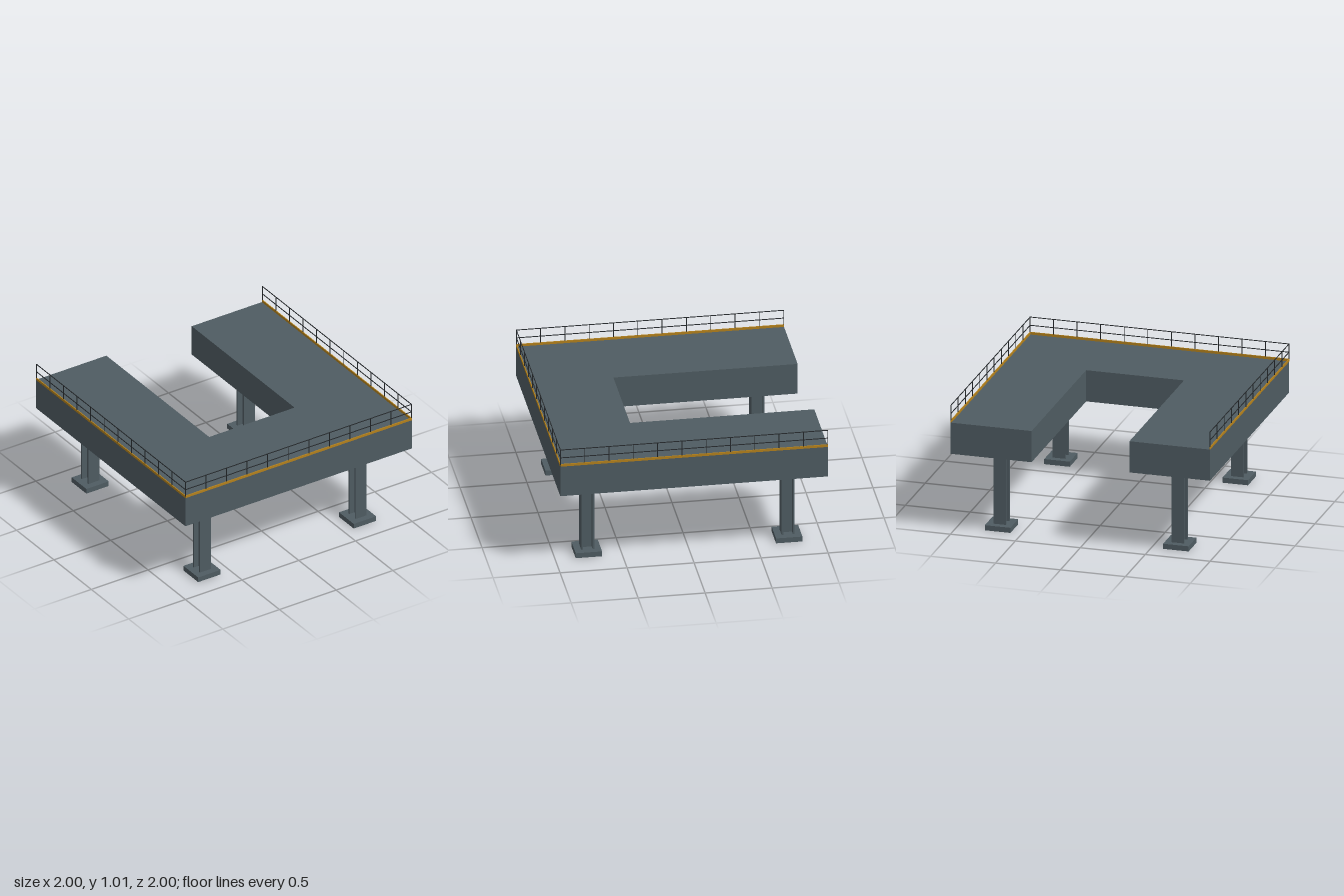
import * as THREE from 'three';

const steel = new THREE.MeshStandardMaterial({ color: 0x4f5c62 });
steel.name = 'steelGrey';
const yellow = new THREE.MeshStandardMaterial({ color: 0xb5821c });
yellow.name = 'safetyYellow';
const dark = new THREE.MeshStandardMaterial({ color: 0x24282b });
dark.name = 'railCharcoal';

const DECK_BOTTOM = 0.63, DECK_TOP = 0.874, RAIL_TOP = 1.012;

function box(parent, name, mat, w, h, d, x, y, z) {
  const mesh = new THREE.Mesh(new THREE.BoxGeometry(w, h, d), mat);
  mesh.name = name;
  mesh.position.set(x, y, z);
  parent.add(mesh);
}

// U-shaped platform, open at the back
function makeDeck() {
  const outline = [[-0.998, -0.998], [0.998, -0.998], [0.998, 1], [0.375, 1],
    [0.375, -0.375], [-0.378, -0.375], [-0.378, 1], [-0.998, 1]];
  const shape = new THREE.Shape(outline.map(([x, y]) => new THREE.Vector2(x, y)));
  const geo = new THREE.ExtrudeGeometry(shape, { depth: DECK_TOP - DECK_BOTTOM, bevelEnabled: false });
  geo.rotateX(-Math.PI / 2);
  const deck = new THREE.Mesh(geo, steel);
  deck.name = 'deck';
  deck.position.y = DECK_BOTTOM;
  return deck;
}

// I-section column on a square base plate
function makeColumn(x, z) {
  const g = new THREE.Group();
  g.name = 'column';
  const plate = 0.04, h = DECK_BOTTOM - plate, y = plate + h / 2;
  box(g, 'basePlate', steel, 0.197, plate, 0.197, 0, plate / 2, 0);
  for (const s of [-1, 1]) box(g, 'flange', steel, 0.097, h, 0.012, 0, y, s * 0.0425);
  box(g, 'web', steel, 0.01, h, 0.073, 0, y, 0);
  g.position.set(x, 0, z);
  return g;
}

// Straight railing along x, centred on the origin
function makeRailing() {
  const g = new THREE.Group();
  g.name = 'railing';
  const t = 0.005, spans = 11, length = 2;
  box(g, 'toeBoard', yellow, length, 0.019, 0.007, 0, DECK_TOP + 0.0095, 0);
  for (const y of [RAIL_TOP - t / 2, 0.945]) box(g, 'rail', dark, length, t, t, 0, y, 0);
  const h = RAIL_TOP - t - DECK_TOP;
  for (let i = 0; i <= spans; i++) {
    const x = (i / spans - 0.5) * (length - t);
    box(g, 'post', dark, t, h, t, x, DECK_TOP + h / 2, 0);
  }
  return g;
}

export function createModel() {
  const model = new THREE.Group();
  model.name = 'platform';
  model.add(makeDeck());

  for (const x of [-0.688, 0.684]) for (const z of [-0.746, 0.749]) model.add(makeColumn(x, z));

  // Railings on the front and both outer sides
  const front = makeRailing();
  front.position.z = 0.9965;
  model.add(front);
  for (const s of [-1, 1]) {
    const side = makeRailing();
    side.rotation.y = s * Math.PI / 2;
    side.position.x = s * 0.9965;
    model.add(side);
  }
  return model;
}
